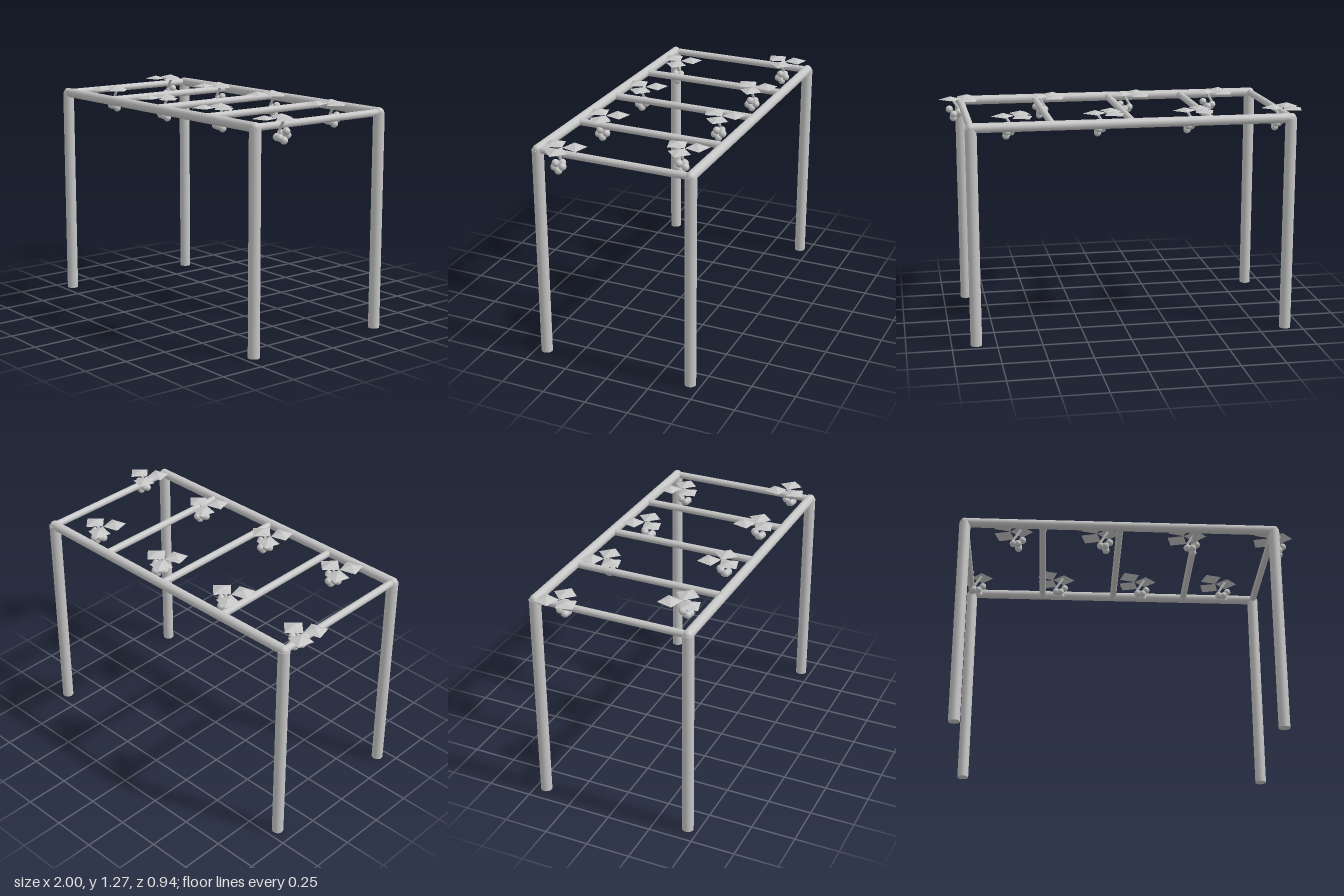
import * as THREE from 'three';

const X0 = -0.906, X1 = 0.864, Z = 0.439, TOP = 1.221;

export function createModel() {
  const model = new THREE.Group();
  model.name = 'vinePergola';
  const grey = new THREE.MeshStandardMaterial({ color: 0xc6c6c6, side: THREE.DoubleSide });
  grey.name = 'plainGrey';

  const add = (parent, name, geometry, x = 0, y = 0, z = 0) => {
    const mesh = new THREE.Mesh(geometry, grey);
    mesh.name = name;
    mesh.position.set(x, y, z);
    parent.add(mesh);
    return mesh;
  };
  // Round bar between two points
  const bar = (parent, name, a, b, radius, sides = 20) => {
    const from = new THREE.Vector3(...a), to = new THREE.Vector3(...b);
    const dir = to.clone().sub(from);
    const mesh = add(parent, name, new THREE.CylinderGeometry(radius, radius, dir.length(), sides));
    mesh.position.copy(from).add(to).multiplyScalar(0.5);
    mesh.quaternion.setFromUnitVectors(new THREE.Vector3(0, 1, 0), dir.normalize());
  };

  // Posts, rounded corner joints and long rails
  for (const z of [-Z, Z]) {
    for (const x of [X0, X1]) {
      bar(model, 'post', [x, 0, z], [x, TOP, z], 0.032);
      add(model, 'cornerJoint', new THREE.SphereGeometry(0.028, 16, 10), x, TOP, z);
    }
    bar(model, 'longRail', [X0, TOP, z], [X1, TOP, z], 0.027);
  }

  // Crossbars
  for (let i = 0; i < 5; i++) {
    const x = X0 + (X1 - X0) * i / 4;
    bar(model, 'crossbar', [x, TOP, -Z], [x, TOP, Z], 0.02, 16);
  }

  // Leaf: a shallow open four-sided pyramid with crisp facets
  const leaf = new THREE.ConeGeometry(0.067, 0.018, 4, 1, true).toNonIndexed();
  leaf.computeVertexNormals();
  const berry = new THREE.SphereGeometry(0.021, 14, 10);
  const berries = [
    [0.073, 1.197, 0], [0.05, 1.172, -0.027], [0.048, 1.162, 0.023],
    [0.052, 1.146, -0.003], [0.022, 1.163, 0.02], [0.02, 1.18, -0.01],
  ];

  // Vine clusters, alternating between the back and front rails
  for (let i = 0; i < 8; i++) {
    const vine = new THREE.Group();
    vine.name = 'vineCluster';
    vine.position.set(X0 + (X1 - X0) * i / 7, 0, i % 2 ? 0.293 : -0.293);
    for (let k = 0; k < 3; k++) {
      const a = k * Math.PI * 2 / 3;
      add(vine, 'leaf', leaf, 0.067 * Math.cos(a), 1.263, -0.067 * Math.sin(a)).rotation.y = a;
    }
    bar(vine, 'stem', [0.062, 1.266, 0], [0.018, 1.195, 0], 0.008, 10);
    for (const p of berries) add(vine, 'berry', berry, ...p);
    model.add(vine);
  }
  return model;
}
